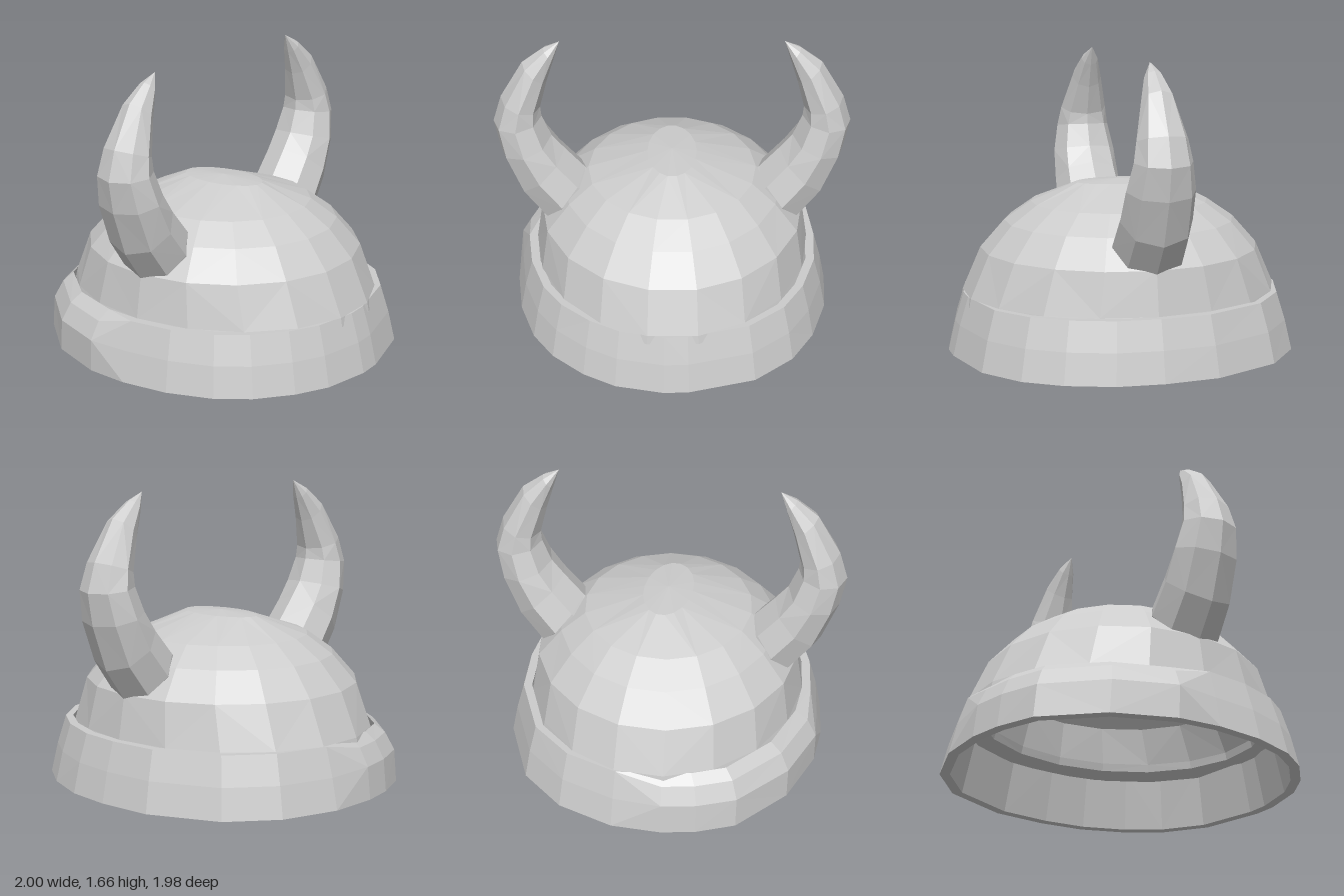
import * as THREE from 'three';

const material = new THREE.MeshStandardMaterial({ color: 0xcccccc, flatShading: true });

// Skins a list of point rings; alternating diagonals give a faceted look.
function loft(name, rings, flip = false) {
  const pos = [];
  const tri = (a, b, c) => {
    if (a.distanceTo(b) < 1e-6 || b.distanceTo(c) < 1e-6 || a.distanceTo(c) < 1e-6) return;
    for (const p of flip ? [a, c, b] : [a, b, c]) pos.push(p.x, p.y, p.z);
  };
  for (let j = 0; j < rings.length - 1; j++) {
    const lo = rings[j], hi = rings[j + 1], n = lo.length;
    for (let i = 0; i < n; i++) {
      const k = (i + 1) % n;
      if ((i + j) % 2) {
        tri(lo[i], lo[k], hi[k]);
        tri(lo[i], hi[k], hi[i]);
      } else {
        tri(lo[i], lo[k], hi[i]);
        tri(lo[k], hi[k], hi[i]);
      }
    }
  }
  const geometry = new THREE.BufferGeometry();
  geometry.setAttribute('position', new THREE.Float32BufferAttribute(pos, 3));
  geometry.computeVertexNormals();
  const mesh = new THREE.Mesh(geometry, material);
  mesh.name = name;
  return mesh;
}

// Horizontal oval ring with a flat facet facing front and back.
const SIDES = 18;
function oval([rx, rz, y]) {
  return Array.from({ length: SIDES }, (_, i) => {
    const a = ((i + 0.5) / SIDES) * Math.PI * 2;
    return new THREE.Vector3(rx * Math.sin(a), y, rz * 1.015 * Math.cos(a));
  });
}

// Plan of the brim's lower edge (x, z), counted from the front towards +x.
const BRIM_PLAN = [
  [0.09, 0.985], [0.46, 0.89], [0.68, 0.72], [0.81, 0.52], [0.90, 0.26],
  [0.92, 0], [0.89, -0.31], [0.71, -0.69], [0.46, -0.89], [0.14, -0.99],
  [-0.14, -0.99], [-0.33, -0.95], [-0.54, -0.86], [-0.79, -0.57], [-0.91, -0.24],
  [-0.925, 0], [-0.89, 0.27], [-0.80, 0.52], [-0.68, 0.69], [-0.50, 0.84],
  [-0.32, 0.935], [-0.05, 0.99],
];

// Ring following the brim plan; the worn back right part may differ.
function brimRing({ ring, worn = ring }) {
  return BRIM_PLAN.map(([x, z]) => {
    const [rx, rz, y] = x < 0 && z < -0.1 ? worn : ring;
    return new THREE.Vector3((x * rx) / 0.92, y, (z * rz) / 0.99);
  });
}

// Horn: each ring spans an inner point, an outer point and a half width in z.
function horn(name, side) {
  const sections = [
    [0.46, 0.79, 0.71, 0.50, 0.19],
    [0.50, 0.83, 0.75, 0.54, 0.21],
    [0.61, 0.96, 0.88, 0.72, 0.20],
    [0.68, 1.05, 0.97, 0.97, 0.19],
    [0.73, 1.18, 1.00, 1.15, 0.16],
    [0.735, 1.24, 0.95, 1.31, 0.14],
    [0.69, 1.41, 0.82, 1.53, 0.09],
    [0.645, 1.55, 0.70, 1.62, 0.05],
    [0.61, 1.66, 0.61, 1.66, 0],
  ];
  const rings = sections.map(([xi, yi, xo, yo, w]) =>
    Array.from({ length: 8 }, (_, i) => {
      const a = (i / 8) * Math.PI * 2;
      const t = (1 + Math.sin(a)) / 2;
      return new THREE.Vector3(side * (xi + (xo - xi) * t), yi + (yo - yi) * t, w * Math.cos(a));
    }));
  return loft(name, rings, side < 0);
}

export function createModel() {
  const model = new THREE.Group();
  model.name = 'hornedHelmet';

  // Dome: outer skin and a slightly smaller lining joined by a sloping ledge.
  const outer = [
    [0.81, 0.9, 0.28],
    [0.795, 0.89, 0.33],
    [0.755, 0.785, 0.57],
    [0.62, 0.65, 0.725],
    [0.48, 0.5, 0.83],
    [0.14, 0.25, 0.94],
    [0, 0, 0.955],
  ];
  const lining = outer
    .map(([rx, rz, y]) => [rx * 0.89, rz * 0.89, 0.31 + (y - 0.28) * 0.86])
    .reverse();
  model.add(loft('dome', [...lining, ...outer].map(oval)));

  // Brim: thick flared band, its top edge worn down at the back right.
  const band = [
    { ring: [0.79, 0.87, 0.33] },
    { ring: [0.865, 0.935, 0] },
    { ring: [0.92, 0.99, 0] },
    { ring: [0.885, 0.95, 0.17], worn: [0.92, 0.97, 0.18] },
    { ring: [0.84, 0.9, 0.33], worn: [0.865, 0.92, 0.28] },
    { ring: [0.79, 0.87, 0.33] },
  ];
  model.add(loft('brim', band.map(brimRing)));

  model.add(horn('leftHorn', 1), horn('rightHorn', -1));
  return model;
}
